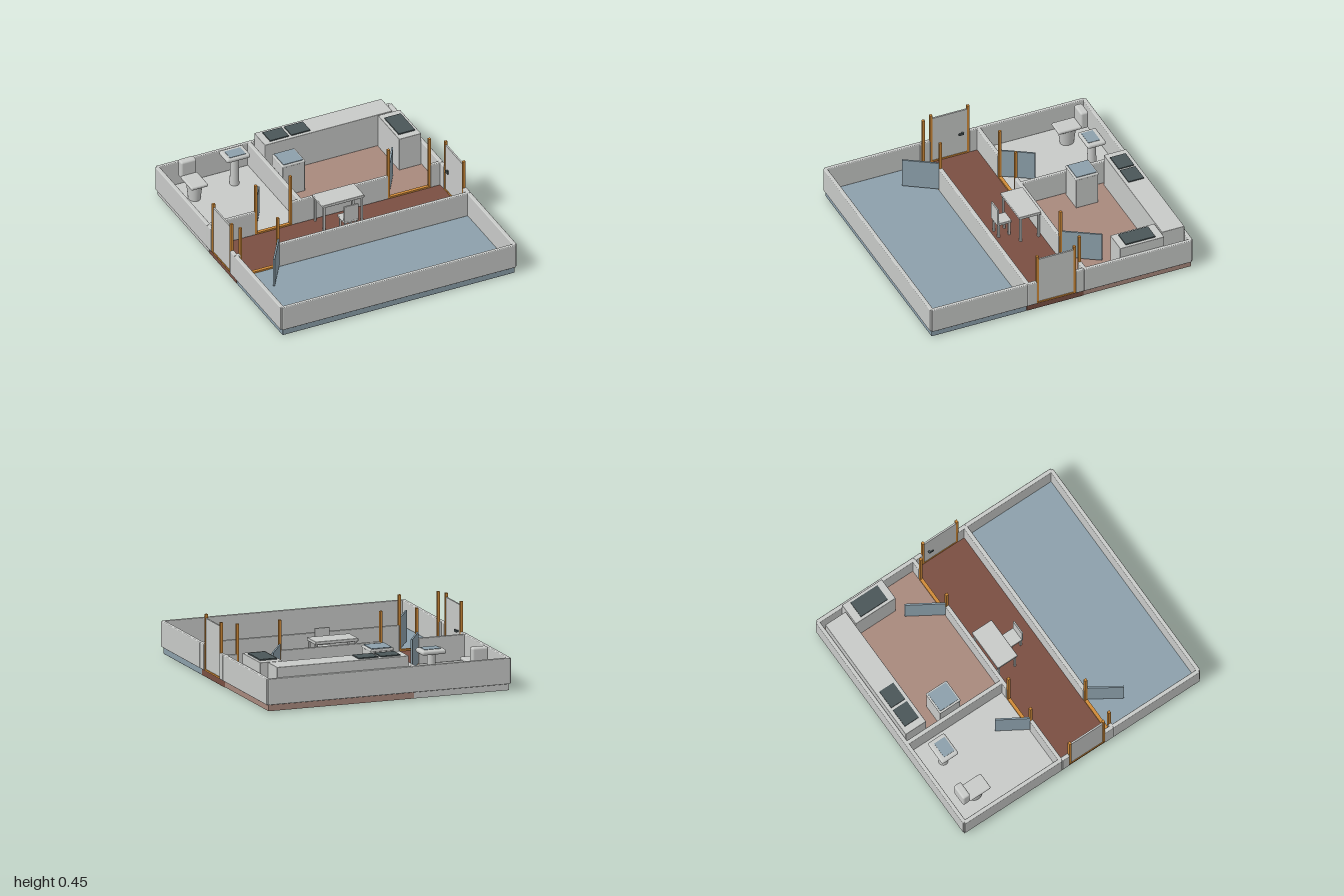
import * as THREE from 'three';
import { RoundedBoxGeometry } from 'three/addons/geometries/RoundedBoxGeometry.js';

const material = (name, color) => {
  const m = new THREE.MeshStandardMaterial({ color });
  m.name = name;
  return m;
};

export function createModel() {
  const model = new THREE.Group();
  model.name = 'floorPlan';
  const grey = material('paleGrey', 0xc8cac8);
  const blue = material('slateBlue', 0x8ca0ab);
  const brown = material('darkBrown', 0x7a4f42);
  const tan = material('rosyTan', 0xa8897d);
  const wood = material('orangeWood', 0xd08a38);
  const dark = material('charcoal', 0x4a5658);

  const group = (name, parent = model) => {
    const g = new THREE.Group();
    g.name = name;
    parent.add(g);
    return g;
  };
  // Box given by its limits on each axis; a radius softens the edges
  const box = (parent, name, mat, [x0, x1], [y0, y1], [z0, z1], radius = 0) => {
    const size = [x1 - x0, y1 - y0, z1 - z0];
    const geo = radius ? new RoundedBoxGeometry(...size, 2, radius) : new THREE.BoxGeometry(...size);
    const mesh = new THREE.Mesh(geo, mat);
    mesh.name = name;
    mesh.position.set((x0 + x1) / 2, (y0 + y1) / 2, (z0 + z1) / 2);
    parent.add(mesh);
    return mesh;
  };
  // Four thin legs under a rectangular top
  const legs = (parent, name, [x0, x1], [z0, z1], top) => {
    for (const x of [x0 + 0.015, x1 - 0.015])
      for (const z of [z0 + 0.015, z1 - 0.015])
        box(parent, name, grey, [x - 0.007, x + 0.007], [0.05, top], [z - 0.007, z + 0.007]);
  };

  // Floor slabs
  const floors = group('floors');
  const slab = [0.005, 0.05];
  box(floors, 'frontRoomFloor', blue, [-0.895, 0.895], [0, 0.05], [0.262, 0.985], 0.005);
  box(floors, 'hallFloor', brown, [-0.895, 0.895], [0, 0.05], [-0.17, 0.262], 0.004);
  box(floors, 'kitchenFloor', tan, [-0.19, 0.895], slab, [-0.985, -0.17]);
  box(floors, 'bathroomFloor', grey, [-0.895, -0.19], slab, [-0.985, -0.17]);

  // Cut-away walls with gaps for the doors
  const walls = group('walls');
  const wall = (name, x, z) => box(walls, name, grey, x, [0.05, 0.235], z, 0.006);
  wall('frontWall', [-0.9, 0.9], [0.97, 0.998]);
  wall('backWall', [-0.9, 0.9], [-0.998, -0.97]);
  for (const s of [-1, 1]) {
    const x = s < 0 ? [-0.912, -0.882] : [0.882, 0.912];
    wall('frontRoomSideWall', x, [0.26, 0.985]);
    wall('hallSideWall', x, [0.19, 0.262]);
    wall('hallSideWall', x, [-0.17, -0.108]);
    wall('backRoomSideWall', x, [-0.985, -0.17]);
  }
  for (const x of [[-0.9, -0.865], [-0.57, 0.9]]) wall('hallFrontWall', x, [0.24, 0.27]);
  for (const x of [[-0.9, -0.54], [-0.258, 0.485], [0.812, 0.9]]) wall('hallBackWall', x, [-0.192, -0.164]);
  wall('partitionWall', [-0.205, -0.175], [-0.98, -0.18]);

  // Inner doors: posts and sill, with a low leaf standing ajar
  const innerDoor = (x0, x1, z, hinge, tip) => {
    const g = group('innerDoor');
    for (const x of [x0, x1])
      box(g, 'doorPost', wood, [x - 0.009, x + 0.009], [0.05, 0.45], [z - 0.01, z + 0.01]);
    box(g, 'doorSill', wood, [x0, x1], [0.05, 0.062], [z - 0.012, z + 0.012]);
    const dx = tip[0] - hinge[0], dz = tip[1] - hinge[1], len = Math.hypot(dx, dz);
    const leaf = box(g, 'doorLeaf', blue, [0, len], [0.06, 0.28], [-0.006, 0.006]);
    leaf.position.set((hinge[0] + tip[0]) / 2, 0.17, (hinge[1] + tip[1]) / 2);
    leaf.rotation.y = -Math.atan2(dz, dx);
  };
  innerDoor(-0.862, -0.574, 0.255, [-0.574, 0.265], [-0.715, 0.482]);
  innerDoor(-0.532, -0.264, -0.178, [-0.535, -0.185], [-0.407, -0.39]);
  innerDoor(0.49, 0.806, -0.178, [0.492, -0.185], [0.643, -0.425]);

  // Closed outer doors at both ends of the hall
  for (const s of [-1, 1]) {
    const g = group(s < 0 ? 'rightOuterDoor' : 'leftOuterDoor');
    const span = (a, b) => (s < 0 ? [-b, -a] : [a, b]);
    for (const z of [-0.099, 0.183])
      box(g, 'doorPost', wood, span(0.885, 0.905), [0.05, 0.45], [z - 0.009, z + 0.009]);
    box(g, 'doorSill', wood, span(0.885, 0.907), [0.05, 0.062], [-0.1, 0.184]);
    box(g, 'doorPanel', grey, span(0.889, 0.901), [0.06, 0.422], [-0.09, 0.175]);
    box(g, 'doorHandle', dark, span(0.871, 0.878), [0.222, 0.238], [-0.06, -0.022]);
    box(g, 'handleStem', dark, span(0.876, 0.89), [0.224, 0.236], [-0.06, -0.046]);
  }

  // Hall desk and chair
  const desk = group('desk');
  box(desk, 'deskTop', grey, [-0.105, 0.215], [0.243, 0.266], [-0.157, 0.01], 0.005);
  legs(desk, 'deskLeg', [-0.105, 0.215], [-0.157, 0.01], 0.245);
  const chair = group('chair');
  box(chair, 'chairSeat', grey, [0, 0.11], [0.155, 0.175], [0.02, 0.13], 0.005);
  box(chair, 'chairBack', grey, [0, 0.11], [0.17, 0.296], [0.117, 0.13], 0.004);
  legs(chair, 'chairLeg', [0, 0.11], [0.02, 0.13], 0.157);

  // Kitchen counters, with dark insets on top
  const kitchen = group('kitchen');
  box(kitchen, 'backCounter', grey, [-0.157, 0.825], [0.05, 0.307], [-0.968, -0.797], 0.004);
  for (const x of [-0.105, 0.06])
    box(kitchen, 'counterInset', dark, [x, x + 0.145], [0.306, 0.315], [-0.94, -0.823]);
  box(kitchen, 'sideCounter', grey, [0.71, 0.88], [0.05, 0.307], [-0.79, -0.455], 0.004);
  box(kitchen, 'cooktop', dark, [0.732, 0.858], [0.306, 0.316], [-0.732, -0.507]);
  box(kitchen, 'cabinet', grey, [-0.16, 0.012], [0.05, 0.3], [-0.68, -0.512], 0.004);
  box(kitchen, 'cabinetTop', grey, [-0.163, 0.015], [0.285, 0.303], [-0.684, -0.508], 0.008);
  box(kitchen, 'cabinetInset', blue, [-0.15, 0.002], [0.3, 0.308], [-0.672, -0.52]);

  // Toilet
  const toilet = group('toilet');
  const bowl = new THREE.Mesh(new THREE.CylinderGeometry(0.056, 0.042, 0.13, 24), grey);
  bowl.name = 'toiletBowl';
  bowl.position.set(-0.715, 0.115, -0.77);
  bowl.scale.z = 1.2;
  toilet.add(bowl);
  box(toilet, 'toiletSeat', grey, [-0.779, -0.651], [0.175, 0.2], [-0.855, -0.68], 0.01);
  box(toilet, 'toiletTank', grey, [-0.775, -0.655], [0.17, 0.307], [-0.91, -0.85], 0.015);

  // Washbasin on a pedestal
  const basin = group('washbasin');
  const pedestal = new THREE.Mesh(new THREE.CylinderGeometry(0.028, 0.034, 0.235, 24), grey);
  pedestal.name = 'basinPedestal';
  pedestal.position.set(-0.386, 0.167, -0.81);
  basin.add(pedestal);
  box(basin, 'basinTop', grey, [-0.475, -0.293], [0.274, 0.308], [-0.88, -0.74], 0.016);
  box(basin, 'basinInset', blue, [-0.446, -0.324], [0.304, 0.311], [-0.845, -0.757]);

  return model;
}
